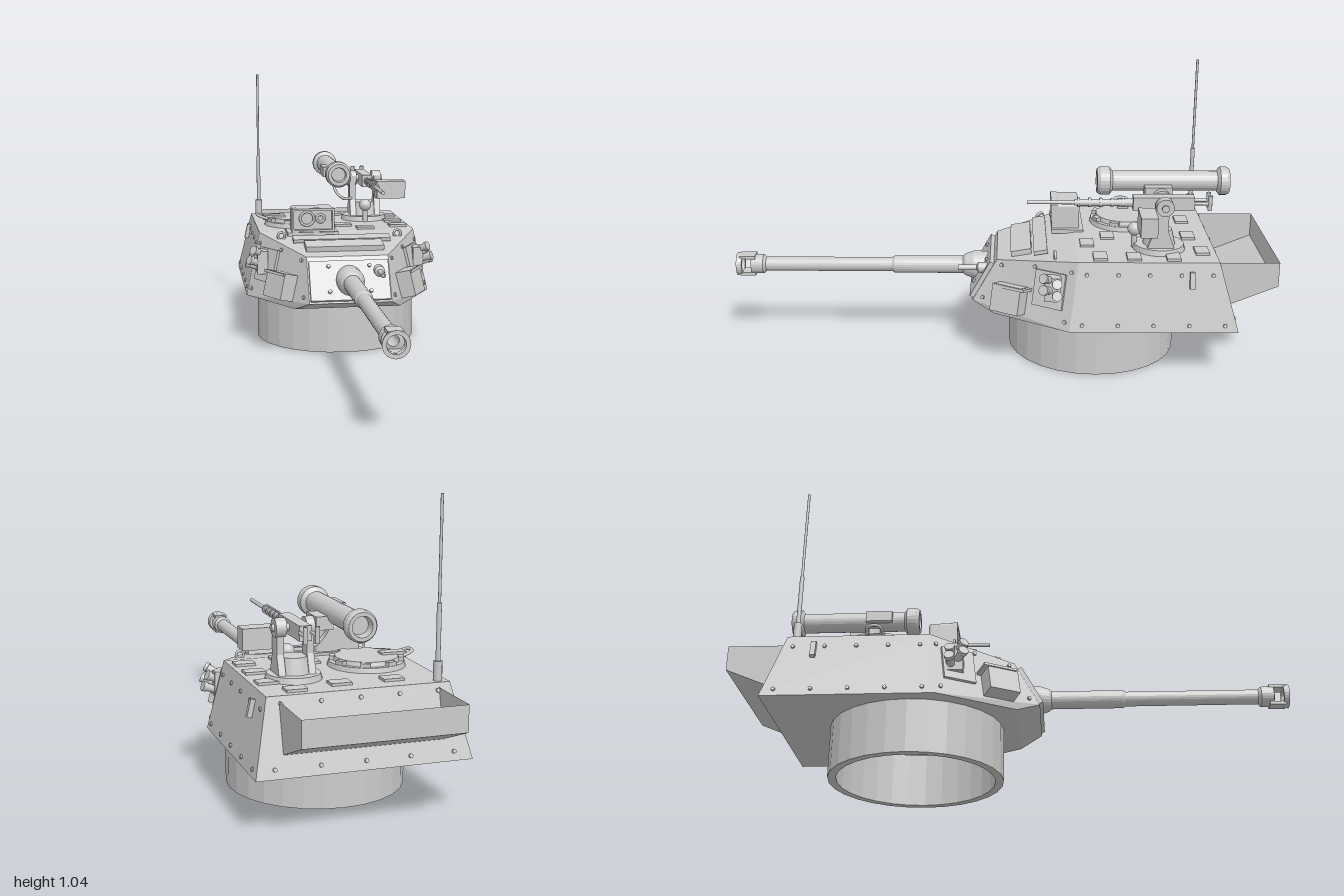
import * as THREE from 'three';
import { RoundedBoxGeometry } from 'three/addons/geometries/RoundedBoxGeometry.js';

const V = (x, y, z) => new THREE.Vector3(x, y, z);
const flat = new THREE.MeshStandardMaterial({ color: 0xcccccc, flatShading: true, side: THREE.DoubleSide });
const smooth = new THREE.MeshStandardMaterial({ color: 0xcccccc, side: THREE.DoubleSide });
const CENTRE = V(0, 0.32, -0.4);

// Planar faces given as corner loops, turned to face away from a centre
function faces(loops, centre) {
  const out = [];
  for (const l of loops) {
    for (let i = 1; i < l.length - 1; i++) {
      const n = l[i].clone().sub(l[0]).cross(l[i + 1].clone().sub(l[0]));
      const tri = n.dot(l[0].clone().sub(centre)) > 0 ? [l[0], l[i], l[i + 1]] : [l[0], l[i + 1], l[i]];
      tri.forEach(p => out.push(p.x, p.y, p.z));
    }
  }
  const g = new THREE.BufferGeometry();
  g.setAttribute('position', new THREE.Float32BufferAttribute(out, 3));
  g.computeVertexNormals();
  return g;
}

export function createModel() {
  const root = new THREE.Group();
  root.name = 'turret';
  const add = (name, geo, x = 0, y = 0, z = 0, mat = smooth, parent = root) => {
    const m = new THREE.Mesh(geo, mat);
    m.name = name;
    m.position.set(x, y, z);
    parent.add(m);
    return m;
  };
  const box = (name, w, h, d, x, y, z) => add(name, new THREE.BoxGeometry(w, h, d), x, y, z, flat);
  // Round bar between two points
  const rod = (name, a, b, r0, r1 = r0, seg = 16) => {
    const d = b.clone().sub(a);
    const m = add(name, new THREE.CylinderGeometry(r1, r0, d.length(), seg));
    m.position.copy(a).addScaledVector(d, 0.5);
    m.quaternion.setFromUnitVectors(V(0, 1, 0), d.normalize());
    return m;
  };
  const latheZ = (name, pts, x, y, z) =>
    add(name, new THREE.LatheGeometry(pts.map(p => new THREE.Vector2(...p)), 24).rotateX(Math.PI / 2), x, y, z, flat);
  const tube = (name, pts, r) => add(name, new THREE.TubeGeometry(new THREE.CatmullRomCurve3(pts), 20, r, 8));

  // Mounting ring: hollow cylinder
  add('mountingRing', new THREE.LatheGeometry([[0.285, 0], [0.315, 0], [0.315, 0.2], [0.285, 0.2], [0.285, 0]]
    .map(p => new THREE.Vector2(...p)), 28), 0, 0, -0.35, flat);

  // Armoured hull
  const P = s => ({
    b0: V(s * 0.365, 0.19, -0.85), b1: V(s * 0.365, 0.19, -0.25), b2: V(s * 0.2, 0.19, 0.02), b3: V(s * 0.155, 0.225, 0.1),
    t0: V(s * 0.31, 0.435, -0.78), t1: V(s * 0.31, 0.435, -0.28), t2: V(s * 0.155, 0.385, 0.01),
  });
  const L = P(1), R = P(-1);
  const side = p => [p.b0, p.b1, p.t1, p.t0];
  const cheek = p => [p.b1, p.b3, p.t2, p.t1];
  const rear = [L.b0, R.b0, R.t0, L.t0], front = [R.b3, L.b3, L.t2, R.t2];
  const loops = [rear, front, [L.t0, L.t1, R.t1, R.t0], [L.t1, L.t2, R.t2, R.t1], [L.b2, L.b3, R.b3, R.b2]];
  for (const p of [L, R]) loops.push(side(p), [p.b1, p.b2, p.b3, p.t2, p.t1]);
  add('hull', faces(loops, CENTRE), 0, 0, 0, flat);

  // Hull floor with round opening
  const floor = new THREE.Shape([R.b0, L.b0, L.b1, L.b2, R.b2, R.b1].map(p => new THREE.Vector2(p.x, p.z)));
  floor.holes.push(new THREE.Path().absarc(0, -0.35, 0.29, 0, Math.PI * 2, true));
  add('hullFloor', new THREE.ShapeGeometry(floor, 28).rotateX(Math.PI / 2), 0, 0.19, 0, flat);

  // Place a part on a hull face, its z axis along the face normal
  const onFace = (name, q, u, v, geo, lift = 0, tilt = 0) => {
    const p = q[0].clone().lerp(q[1], u).lerp(q[3].clone().lerp(q[2], u), v);
    const n = q[1].clone().sub(q[0]).cross(q[3].clone().sub(q[0])).normalize();
    if (n.dot(p.clone().sub(CENTRE)) < 0) n.negate();
    const right = V(0, 1, 0).cross(n).normalize();
    const m = add(name, geo, 0, 0, 0, flat);
    m.quaternion.setFromRotationMatrix(new THREE.Matrix4().makeBasis(right, n.clone().cross(right), n));
    m.position.copy(p).addScaledVector(n, lift);
    m.rotateX(tilt);
    return m;
  };
  const bolt = new THREE.CylinderGeometry(0.007, 0.008, 0.012, 8).rotateX(Math.PI / 2);

  for (const p of [L, R]) {
    const s = Math.sign(p.b0.x);
    // Side bolts, lifting bracket
    for (let i = 0; i < 5; i++) for (const v of [0.1, 0.82]) onFace('sideBolt', side(p), 0.07 + i * 0.215, v, bolt);
    onFace('liftingBracket', side(p), 0.22, 0.75, new THREE.BoxGeometry(0.018, 0.06, 0.02), 0.006);
    // Cheek plate, bolts and stowage box
    onFace('cheekPlate', cheek(p), 0.27, 0.55, new THREE.BoxGeometry(0.12, 0.13, 0.012), 0.004);
    for (const [u, v] of [[0.06, 0.12], [0.06, 0.85], [0.92, 0.12], [0.9, 0.88], [0.5, 0.9]]) onFace('cheekBolt', cheek(p), u, v, bolt);
    onFace('cheekBox', cheek(p), 0.63, 0.27, new THREE.BoxGeometry(0.115, 0.1, 0.06), 0.028);
    onFace('cheekBoxLid', cheek(p), 0.63, 0.49, new THREE.BoxGeometry(0.125, 0.01, 0.07), 0.028);
    // Smoke launchers fanned outwards
    box('launcherBracket', 0.04, 0.09, 0.06, s * 0.307, 0.335, -0.19);
    for (let i = 0; i < 4; i++) {
      const a = V(s * 0.302, 0.305 + 0.019 * i, -0.2 + 0.012 * (i % 2));
      const b = V(s * (0.368 - 0.008 * i), 0.33 + 0.019 * i, -0.205 + 0.05 * (i % 2));
      rod('smokeLauncher', a, b, 0.013, 0.015, 12);
      rod('smokeLauncherRim', b.clone().lerp(a, 0.2), b, 0.018, 0.018, 12);
    }
  }
  for (let i = 0; i < 5; i++) for (const v of [0.12, 0.9]) onFace('rearBolt', rear, 0.08 + i * 0.21, v, bolt);

  // Open stowage bin at the rear
  const bin = s => [V(s * 0.27, 0.42, -0.785), V(s * 0.27, 0.42, -1), V(s * 0.27, 0.33, -1), V(s * 0.27, 0.26, -0.83)];
  const bl = bin(1), br = bin(-1);
  add('stowageBin', faces([bl, br, [bl[1], bl[2], br[2], br[1]], [bl[2], bl[3], br[3], br[2]]], V(0, 0.36, -0.9)), 0, 0, 0, flat);

  // Mantlet plate with bolts, and hood above
  onFace('mantletPlate', front, 0.5, 0.46, new THREE.BoxGeometry(0.3, 0.155, 0.025), 0.004);
  for (const u of [0.25, 0.75]) for (const v of [0.22, 0.76]) onFace('mantletBolt', front, u, v, bolt, 0.02);
  box('hood', 0.3, 0.025, 0.075, 0, 0.408, -0.08).rotation.x = 0.17;
  box('hoodFlap', 0.38, 0.014, 0.05, 0, 0.426, -0.15).rotation.x = 0.17;

  // Main gun with slotted muzzle
  latheZ('gunBarrel', [[0, 0], [0.052, 0], [0.052, 0.1], [0.042, 0.13], [0.033, 0.14], [0.033, 0.4], [0.027, 0.41],
    [0.027, 0.89], [0.037, 0.9], [0.037, 0.945], [0.018, 0.95], [0.018, 0.8], [0, 0.8]], 0, 0.305, 0);
  latheZ('muzzleRing', [[0.028, 0.98], [0.04, 0.98], [0.044, 1], [0.03, 1], [0.028, 0.98]], 0, 0.305, 0);
  for (const s of [1, -1]) box('muzzleWeb', 0.05, 0.012, 0.06, 0, 0.305 + s * 0.033, 0.96);
  latheZ('coaxialGun', [[0, 0], [0.02, 0], [0.02, 0.08], [0.01, 0.085], [0.01, 0.155], [0.005, 0.155], [0.005, 0.1]], 0.112, 0.337, 0);

  // Gunner sight with two lenses
  box('sightBase', 0.2, 0.015, 0.12, -0.105, 0.437, -0.255);
  add('sightHousing', new RoundedBoxGeometry(0.165, 0.105, 0.09, 2, 0.012), -0.105, 0.487, -0.255);
  for (const [w, h, x, y] of [[0.165, 0.008, -0.105, 0.534], [0.165, 0.008, -0.105, 0.45], [0.008, 0.09, -0.184, 0.49], [0.008, 0.09, -0.026, 0.49]])
    box('sightFrame', w, h, 0.025, x, y, -0.207);
  for (const [x, r] of [[-0.128, 0.027], [-0.075, 0.015]]) add('sightLens', new THREE.TorusGeometry(r, 0.005, 8, 24), x, 0.497, -0.208);

  // Commander hatch with hinge, handle and periscopes
  add('hatchRing', new THREE.CylinderGeometry(0.13, 0.135, 0.02, 32), -0.14, 0.442, -0.48);
  add('hatchLid', new THREE.CylinderGeometry(0.108, 0.115, 0.02, 32), -0.14, 0.457, -0.48);
  box('hatchHinge', 0.09, 0.02, 0.04, -0.235, 0.465, -0.48);
  tube('hatchHandle', [V(-0.26, 0.46, -0.45), V(-0.3, 0.475, -0.46), V(-0.3, 0.475, -0.5), V(-0.26, 0.46, -0.51)], 0.006);
  for (let i = 0; i < 8; i++) {
    const a = (i + 0.5) * Math.PI / 4;
    box('hatchPeriscope', 0.035, 0.016, 0.018, -0.14 + 0.118 * Math.sin(a), 0.458, -0.48 + 0.118 * Math.cos(a)).rotation.y = a;
  }
  // Roof plates
  for (const [x, z] of [[0.26, -0.36], [0.26, -0.48], [0.26, -0.62], [0.12, -0.32], [0.04, -0.4], [0.04, -0.7], [-0.14, -0.7], [0.2, -0.73]])
    box('roofPlate', 0.07, 0.012, 0.05, x, 0.438, z);
  for (const x of [-0.23, 0.23]) add('liftingEye', new THREE.TorusGeometry(0.014, 0.005, 6, 12), x, 0.432, -0.2);

  // Antenna
  for (const [r, y0, y1] of [[0.015, 0.43, 0.5], [0.008, 0.5, 0.69], [0.005, 0.69, 1.04]])
    rod('antenna', V(-0.278, y0, -0.755), V(-0.278, y1, -0.755), r, r, 10);

  // Weapon pedestal: turntable, yoke arms and trunnions
  add('pedestalBase', new THREE.CylinderGeometry(0.09, 0.095, 0.02, 24), 0.155, 0.445, -0.58);
  add('pedestalDrum', new THREE.CylinderGeometry(0.045, 0.06, 0.06, 20), 0.155, 0.48, -0.58);
  for (const x of [0.105, 0.208]) {
    const arm = new THREE.Shape([[-0.05, 0], [0.05, 0], [0.025, 0.07], [0.025, 0.17], [-0.025, 0.17], [-0.025, 0.07]].map(p => new THREE.Vector2(...p)));
    add('yokeArm', new THREE.ExtrudeGeometry(arm, { depth: 0.024, bevelEnabled: false }).rotateY(Math.PI / 2), x - 0.012, 0.45, -0.58, flat);
    rod('trunnion', V(x - 0.018, 0.608, -0.59), V(x + 0.018, 0.608, -0.59), 0.032, 0.032, 20);
  }
  rod('trunnionShaft', V(0.05, 0.608, -0.59), V(0.235, 0.608, -0.59), 0.013);
  add('aimingLamp', new THREE.SphereGeometry(0.025, 16, 12), 0.148, 0.505, -0.49);
  rod('aimingLampStem', V(0.148, 0.435, -0.49), V(0.148, 0.5, -0.49), 0.01);
  box('ammunitionBox', 0.12, 0.073, 0.06, 0.26, 0.566, -0.525);

  // Machine gun
  box('gunReceiver', 0.042, 0.05, 0.22, 0.155, 0.607, -0.59);
  rod('coolingJacket', V(0.155, 0.607, -0.48), V(0.155, 0.607, -0.27), 0.014, 0.012);
  for (let i = 0; i < 5; i++) rod('jacketRib', V(0.155, 0.607, -0.45 + i * 0.04), V(0.155, 0.607, -0.44 + i * 0.04), 0.017);
  rod('machineGunBarrel', V(0.155, 0.607, -0.28), V(0.155, 0.607, -0.1), 0.007);
  for (const s of [1, -1]) {
    rod('gripArm', V(0.155 + s * 0.02, 0.61, -0.7), V(0.155 + s * 0.02, 0.61, -0.76), 0.006, 0.006, 8);
    rod('grip', V(0.155 + s * 0.02, 0.585, -0.755), V(0.155 + s * 0.02, 0.64, -0.755), 0.008, 0.008, 8);
  }

  // Missile launch tube with padded ends, bracket and cable
  latheZ('launchTube', [[0, 0.03], [0.03, 0.03], [0.034, 0], [0.046, 0], [0.052, 0.01], [0.052, 0.035], [0.037, 0.045], [0.037, 0.43],
    [0.052, 0.44], [0.052, 0.475], [0.044, 0.487], [0.03, 0.487], [0.027, 0.47], [0, 0.47]], 0.02, 0.648, -0.845);
  box('tubeBracket', 0.06, 0.045, 0.1, 0.065, 0.62, -0.58);
  box('tubeSight', 0.025, 0.04, 0.1, -0.02, 0.65, -0.51);
  tube('launchCable', [V(0.02, 0.6, -0.55), V(0.03, 0.56, -0.53), V(0.06, 0.53, -0.53), V(0.1, 0.525, -0.56)], 0.006);
  return root;
}
